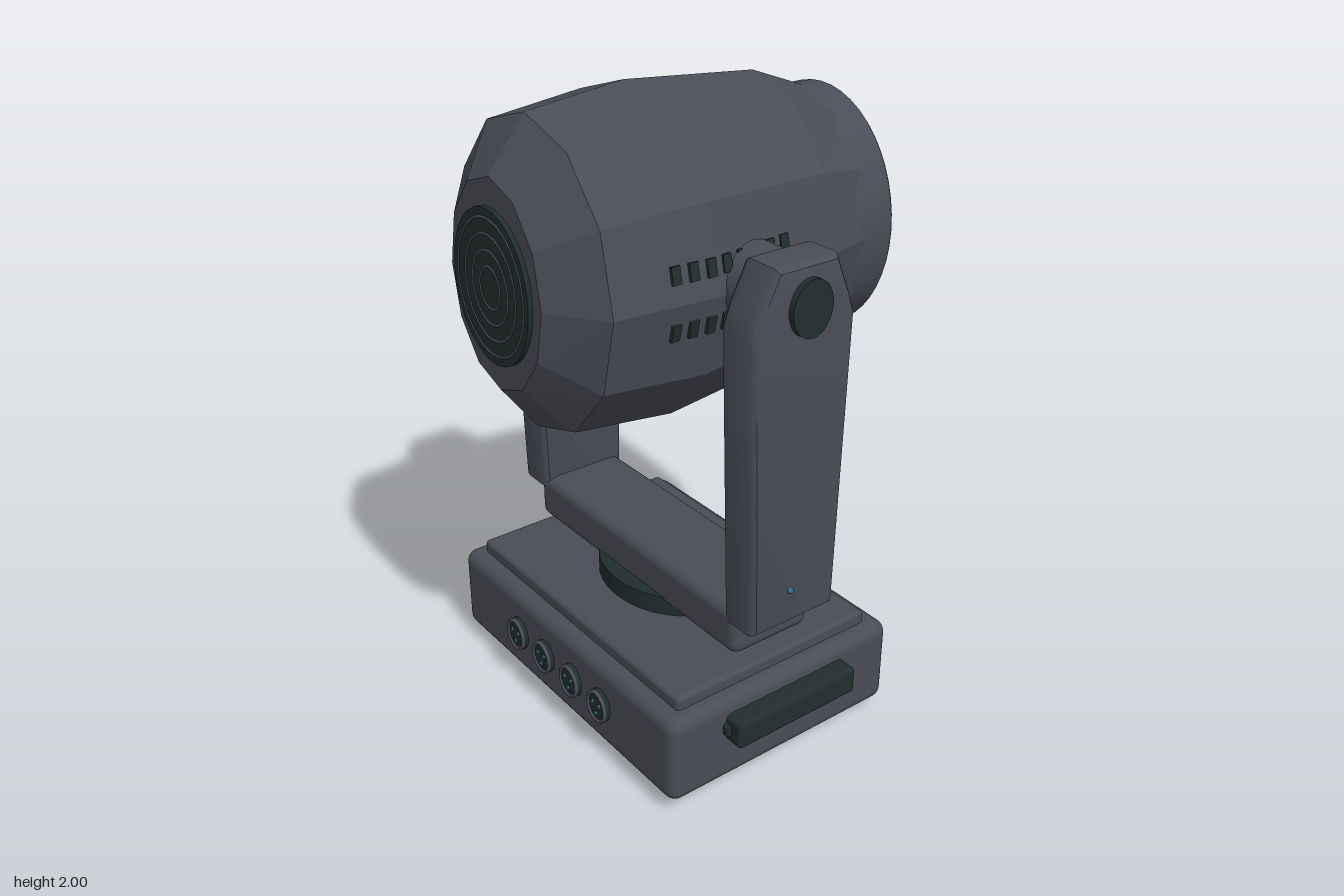
import * as THREE from 'three';
import { toCreasedNormals } from 'three/addons/utils/BufferGeometryUtils.js';
import { RoundedBoxGeometry } from 'three/addons/geometries/RoundedBoxGeometry.js';

export function createModel() {
  const model = new THREE.Group();
  const mat = (name, color) => Object.assign(new THREE.MeshStandardMaterial({ color }), { name });
  const grey = mat('housing grey', 0x4a4d57);
  const dark = mat('dark trim', 0x212e2e);
  const teal = mat('teal glass', 0x347381);

  const add = (name, geo, material, x = 0, y = 0, z = 0, parent = model) => {
    const m = new THREE.Mesh(geo, material);
    m.name = name;
    m.position.set(x, y, z);
    parent.add(m);
    return m;
  };
  const rbox = (w, h, d, r) => new RoundedBoxGeometry(w, h, d, 3, r);
  // Elliptical discs: facing z, facing x, or upright
  const discZ = (rx, ry, d) => new THREE.CylinderGeometry(1, 1, d, 40).rotateX(Math.PI / 2).scale(rx, ry, 1);
  const discX = (ry, rz, d) => new THREE.CylinderGeometry(1, 1, d, 32).rotateZ(Math.PI / 2).scale(1, ry, rz);
  const discY = (rx, rz, d) => new THREE.CylinderGeometry(1, 1, d, 32).scale(rx, 1, rz);
  const ring = (r, t, sx = 0.86) => new THREE.TorusGeometry(r, t, 8, 48).scale(sx, 1, 1);

  // Base
  add('base', rbox(1.17, 0.29, 0.85, 0.04), grey, 0, 0.185, 0.015);
  add('baseTopPlate', rbox(1.07, 0.06, 0.73, 0.015), grey, 0, 0.34, 0.018);
  add('turntable', discY(0.255, 0.2, 0.07), dark, 0, 0.398, 0.018);
  for (const x of [-0.445, 0.445])
    for (const z of [0.308, -0.273]) add('foot', discY(0.055, 0.043, 0.05), dark, x, 0.025, z);
  for (const s of [-1, 1]) {
    add('sideHandle', rbox(0.075, 0.09, 0.455, 0.015), dark, s * 0.61, 0.235, 0.015);
    add('handleEnd', rbox(0.03, 0.04, 0.03, 0.008), dark, s * 0.592, 0.235, 0.24);
  }

  // Front sockets
  for (const x of [-0.23, -0.077, 0.077, 0.23]) {
    const socket = new THREE.Group();
    socket.name = 'socket';
    socket.position.set(x, 0.19, 0.44);
    model.add(socket);
    add('socketDisc', discZ(0.048, 0.056, 0.03), dark, 0, 0, 0.003, socket);
    add('socketRing', ring(0.05, 0.007), grey, 0, 0, 0.017, socket);
    for (let i = 0; i < 3; i++) {
      const a = Math.PI / 2 + (i * 2 * Math.PI) / 3;
      add('socketPin', discZ(0.006, 0.007, 0.008), teal, Math.cos(a) * 0.02, -Math.sin(a) * 0.023, 0.02, socket);
    }
  }

  // Back control panel
  add('controlPanel', rbox(0.58, 0.21, 0.03, 0.008), dark, 0, 0.193, -0.409);
  add('screen', new THREE.BoxGeometry(0.24, 0.13, 0.009), teal, -0.07, 0.2, -0.426);
  for (let i = 0; i < 4; i++)
    add('button', discZ(0.013, 0.015, 0.012), grey, 0.11 + i * 0.045, 0.2, -0.426);

  // Yoke: crossbar and two tapered arms
  add('yokeCrossbar', rbox(1.04, 0.155, 0.29, 0.035), grey, 0, 0.483, 0.02);
  const armShape = new THREE.Shape([
    [-0.138, 0.525], [0.168, 0.525], [0.198, 1.45], [0.175, 1.52],
    [0.12, 1.63], [-0.09, 1.63], [-0.137, 1.52], [-0.16, 1.45],
  ].map(([z, y]) => new THREE.Vector2(z, y)));
  const armGeo = toCreasedNormals(new THREE.ExtrudeGeometry(armShape, {
    depth: 0.085, bevelThickness: 0.03, bevelSize: 0.025, bevelOffset: -0.025, bevelSegments: 3,
  }).translate(0, 0, -0.0425).rotateY(-Math.PI / 2), 0.5);
  const headY = 1.508;
  for (const s of [-1, 1]) {
    add('yokeArm', armGeo, grey, s * 0.537, 0, 0);
    add('pivot', discX(0.115, 0.115, 0.16), grey, s * 0.41, headY, 0.016);
    add('pivotCap', discX(0.083, 0.069, 0.04), dark, s * 0.608, headY, 0.016);
    add('indicator', new THREE.SphereGeometry(0.01, 10, 8), teal, s * 0.611, 0.645, 0.04);
  }

  // Head: faceted twelve-sided barrel from cross-sections [z, rx, ry]
  const head = new THREE.Group();
  head.name = 'head';
  head.position.y = headY;
  model.add(head);
  const sections = [
    [0.59, 0.001, 0.001], [0.59, 0.23, 0.305], [0.475, 0.387, 0.455],
    [0.16, 0.418, 0.492], [-0.29, 0.37, 0.453], [-0.53, 0.31, 0.364],
  ];
  const sides = 12, verts = [], faces = [];
  sections.forEach(([z, rx, ry], i) => {
    for (let j = 0; j < sides; j++) {
      const t = (j * 2 * Math.PI) / sides;
      verts.push(Math.sin(t) * rx, Math.cos(t) * ry, z);
      if (i === sections.length - 1) continue;
      const a = i * sides + j, b = i * sides + ((j + 1) % sides);
      faces.push(a, b, a + sides, b, b + sides, a + sides);
    }
  });
  let barrel = new THREE.BufferGeometry();
  barrel.setAttribute('position', new THREE.Float32BufferAttribute(verts, 3));
  barrel.setIndex(faces);
  barrel = barrel.toNonIndexed();
  barrel.computeVertexNormals();
  add('barrel', barrel, grey, 0, 0, 0, head);

  // Lens collar, rim and glass at the back
  const collar = new THREE.LatheGeometry(
    [[0.38, 0.42], [0.38, 0.562], [0.375, 0.568], [0.345, 0.568], [0.345, 0.54]].map((p) => new THREE.Vector2(...p)), 48
  ).rotateX(-Math.PI / 2).scale(0.86, 1, 1);
  add('lensCollar', toCreasedNormals(collar, 0.6), grey, 0, 0, 0, head);
  add('collarFloor', discZ(0.3, 0.348, 0.02), dark, 0, 0, -0.545, head);
  add('collarRim', ring(0.337, 0.011), dark, 0, 0, -0.565, head);
  add('lensRing', ring(0.285, 0.011), grey, 0, 0, -0.598, head);
  add('lens', discZ(0.242, 0.282, 0.008), teal, 0, 0, -0.598, head);

  // Round fan grille at the front
  add('grilleDisc', discZ(0.19, 0.222, 0.03), dark, 0, 0, 0.59, head);
  for (const r of [0.06, 0.105, 0.15, 0.195])
    add('grilleRing', ring(r, 0.004), grey, 0, 0, 0.604, head);

  // Side cooling slots, two rows laid on the barrel facets
  for (const s of [-1, 1])
    for (const row of [-1, 1])
      for (let i = 0; i < 8; i++) {
        const z = -0.1 + i * 0.0545;
        const rx = z > 0.16 ? 0.418 - (z - 0.16) * 0.098 : 0.418 - (0.16 - z) * 0.107;
        const slot = add('coolingSlot', new THREE.BoxGeometry(0.016, 0.05, 0.028), dark, s * (rx - 0.018), row * 0.08, z, head);
        slot.rotation.z = s * row * 0.22;
      }
  return model;
}
